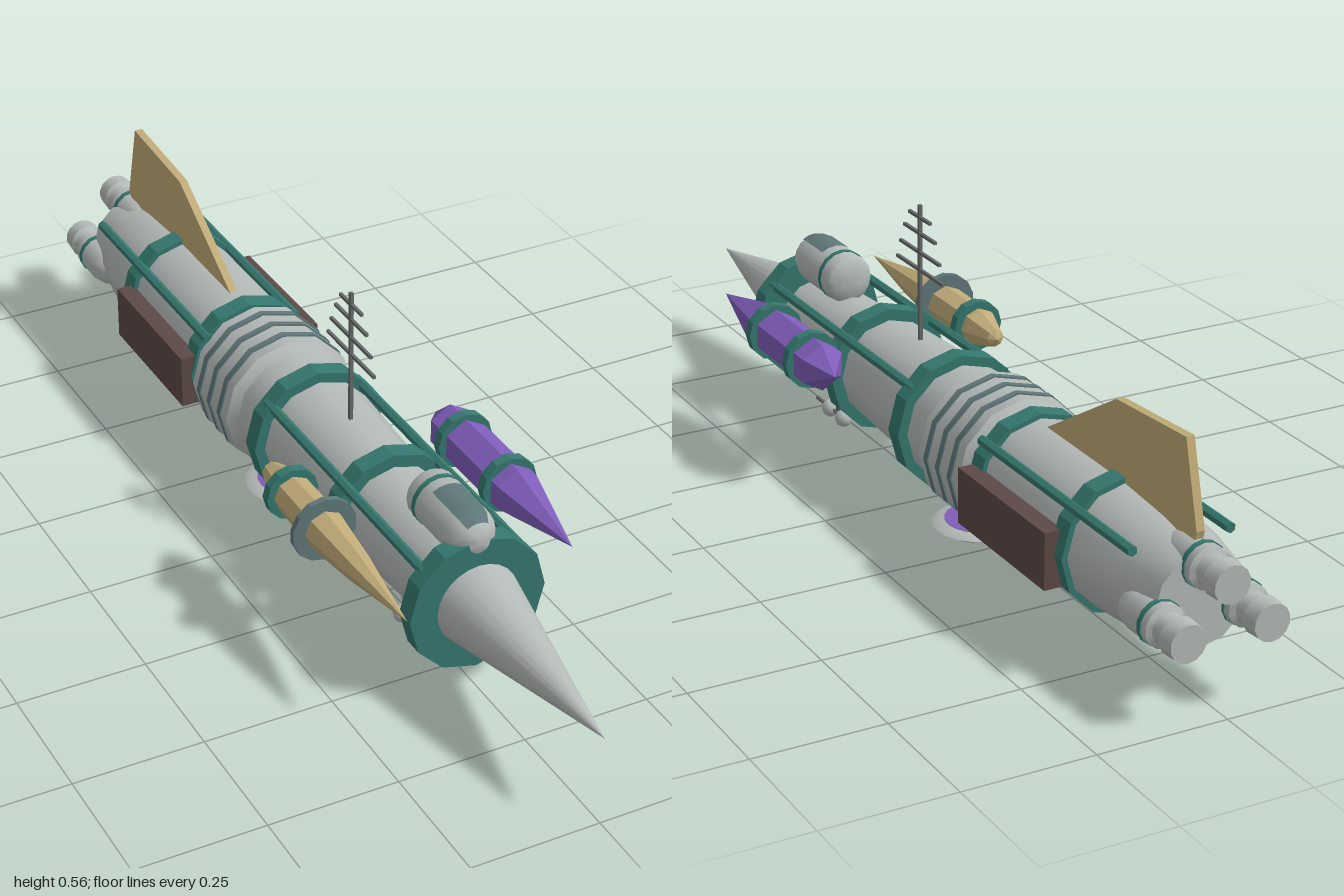
import * as THREE from 'three';
import { toCreasedNormals } from 'three/addons/utils/BufferGeometryUtils.js';

const mat = (name, color, opts = {}) => {
  const m = new THREE.MeshStandardMaterial({ color, ...opts });
  m.name = name;
  return m;
};

export function createModel() {
  const root = new THREE.Group();
  root.name = 'spaceship';
  const grey = mat('hullGrey', 0xb4bab8);
  const teal = mat('teal', 0x35786f);
  const slate = mat('slate', 0x5f777a);
  const sand = mat('sand', 0xc0ab78);
  const purple = mat('purple', 0x7f5dba);
  const brown = mat('panelBrown', 0x5c4a46);
  const dark = mat('darkGrey', 0x666a6a);
  const AXIS = 0.18; // height of the hull axis

  const add = (name, geo, material, x = 0, y = 0, z = 0, parent = root) => {
    const m = new THREE.Mesh(geo, material);
    m.name = name;
    m.position.set(x, y, z);
    parent.add(m);
    return m;
  };
  // Turned part along z; profile of [z, radius] from rear to front
  const turned = (profile, sides, crease = 0.6, start = 0, length = Math.PI * 2) => {
    const pts = profile.map(([z, r]) => new THREE.Vector2(r, z));
    const g = new THREE.LatheGeometry(pts, sides, start, length).rotateX(Math.PI / 2);
    return toCreasedNormals(g, crease);
  };
  // Closed ring or disc of the given radius between z0 and z1
  const band = (z0, z1, r, sides, crease) =>
    turned([[z0, 0], [z0, r], [z1, r], [z1, 0]], sides, crease);

  // Hull with long nose and tapered tail
  add('hull', turned([[-0.91, 0], [-0.91, 0.09], [-0.8, 0.11], [-0.66, 0.121], [-0.33, 0.122],
    [-0.15, 0.12], [-0.06, 0.116], [0.24, 0.102], [0.56, 0.084]], 12), grey, 0, AXIS);
  add('nose', turned([[0.56, 0.084], [1, 0]], 24), grey, 0, AXIS);

  // Strengthening bands
  [[0.555, 0.136], [0.24, 0.126], [-0.06, 0.136], [-0.355, 0.131], [-0.655, 0.131]].forEach(([z, r]) =>
    add('hullBand', band(z - 0.02, z + 0.02, r, 12, 0.3), teal, 0, AXIS));

  // Ribbed middle section
  add('ribbedSection', turned([[-0.33, 0.12], [-0.315, 0.137], [-0.165, 0.137], [-0.15, 0.12]], 12), grey, 0, AXIS);
  for (const z of [-0.285, -0.24, -0.195])
    add('ribRing', band(z - 0.007, z + 0.007, 0.14, 12), slate, 0, AXIS);

  // Pipes and side panels, mirrored
  for (const s of [-1, 1]) {
    add('frontPipe', band(-0.07, 0.55, 0.01, 6), teal, s * 0.094, 0.262);
    add('rearPipe', band(-0.845, -0.33, 0.01, 6), teal, s * 0.096, 0.262);
    add('sidePanel', new THREE.BoxGeometry(0.035, 0.108, 0.31), brown, s * 0.132, 0.17, -0.495);
  }

  // Tail fin
  const fin = new THREE.Shape([[0.38, 0.27], [0.41, 0.3], [0.64, 0.44], [0.86, 0.455], [0.9, 0.3], [0.89, 0.26]]
    .map(([z, y]) => new THREE.Vector2(z, y)));
  const finGeo = new THREE.ExtrudeGeometry(fin, { depth: 0.016, bevelEnabled: false });
  add('tailFin', finGeo.translate(0, 0, -0.008).rotateY(Math.PI / 2), sand);

  // Three engines
  for (const [x, y] of [[0, 0.246], [-0.081, 0.158], [0.081, 0.158]]) {
    const engine = new THREE.Group();
    engine.name = 'engine';
    engine.position.set(x, y, 0);
    root.add(engine);
    add('nozzle', turned([[-1, 0], [-1, 0.035], [-0.967, 0.037], [-0.96, 0.03], [-0.935, 0.03], [-0.93, 0.04],
      [-0.86, 0.04], [-0.835, 0.035], [-0.815, 0.02], [-0.81, 0]], 14), grey, 0, 0, 0, engine);
    add('nozzleBand', band(-0.915, -0.905, 0.042, 14), teal, 0, 0, 0, engine);
  }

  // Cockpit capsule on top
  const R = 0.05;
  const arc = (z, r, dir) => [0, 1, 2, 3, 4].map(i => {
    const a = i * Math.PI / 8;
    return dir > 0 ? [z + r * Math.sin(a), r * Math.cos(a)] : [z - 0.02 * Math.cos(a), r * Math.sin(a)];
  });
  add('cockpit', turned([...arc(0.4, R, -1), ...arc(0.53, R, 1)], 16), grey, 0, 0.309);
  add('cockpitBand', band(0.42, 0.43, R + 0.002, 16), teal, 0, 0.309);
  add('cockpitWindow', turned([[0.455, R + 0.002], ...arc(0.53, R + 0.002, 1).slice(0, 3)], 4, 0.6,
    Math.PI - 0.6, 1.2), slate, 0, 0.309);

  // Antenna mast with cross bars
  add('antennaMast', new THREE.BoxGeometry(0.007, 0.28, 0.007), dark, 0, 0.42, 0.09);
  [[0.535, 0.043], [0.503, 0.063], [0.465, 0.08], [0.43, 0.093]].forEach(([y, half]) =>
    add('antennaBar', new THREE.BoxGeometry(0.006, 0.006, half * 2), dark, 0, y, 0.09));

  // Sand-coloured pod on the right
  const rightPod = new THREE.Group();
  rightPod.name = 'rightPod';
  rightPod.position.set(-0.18, 0.247, 0);
  root.add(rightPod);
  add('podBody', turned([[0.11, 0], [0.12, 0.018], [0.18, 0.038], [0.34, 0.04], [0.47, 0.027], [0.645, 0]], 8, 0.1),
    sand, 0, 0, 0, rightPod);
  add('podBand', band(0.19, 0.21, 0.052, 12, 0.3), teal, 0, 0, 0, rightPod);
  add('podDisc', band(0.325, 0.337, 0.064, 14, 0.3), slate, 0, 0, 0, rightPod);

  // Purple pod on the left
  const leftPod = new THREE.Group();
  leftPod.name = 'leftPod';
  leftPod.position.set(0.184, 0.248, 0);
  root.add(leftPod);
  add('podBody', turned([[0.085, 0], [0.14, 0.047], [0.39, 0.047], [0.585, 0]], 6, 0.1), purple, 0, 0, 0, leftPod);
  for (const z of [0.19, 0.355])
    add('podBand', band(z - 0.01, z + 0.01, 0.057, 12, 0.3), teal, 0, 0, 0, leftPod);

  // Belly turret with twin guns
  add('turretDome', new THREE.SphereGeometry(0.045, 12, 8), grey, 0, 0.077, 0.385);
  for (const s of [-1, 1]) {
    for (const z of [0.42, 0.36])
      add('gunBall', new THREE.SphereGeometry(0.018, 10, 8), grey, s * 0.033, 0.03, z);
    add('gunBarrel', band(0.35, 0.48, 0.004, 6), dark, s * 0.033, 0.03);
    add('gunArm', new THREE.BoxGeometry(0.03, 0.01, 0.02), dark, s * 0.018, 0.038, 0.385);
  }

  // Belly dish on its strut
  add('dishStrut', new THREE.CylinderGeometry(0.013, 0.013, 0.06, 8), teal, 0, 0.04, -0.155);
  const dish = turned([[0, 0], [0, 0.08], [0.008, 0.094], [0.016, 0.08], [0.016, 0]], 20).rotateX(-Math.PI / 2);
  add('dish', dish, grey, 0, 0.001, -0.155);
  for (const y of [0.001, 0.017])
    add('dishFace', new THREE.CylinderGeometry(0.07, 0.07, 0.002, 20), purple, 0, y, -0.155);

  // Small blister under the tail
  add('tailBlister', new THREE.SphereGeometry(0.025, 10, 8).scale(1, 0.8, 1.8), grey, 0, 0.083, -0.73);
  add('tailBlisterBand', band(-0.735, -0.725, 0.022, 10), teal, 0, 0.083);

  return root;
}
